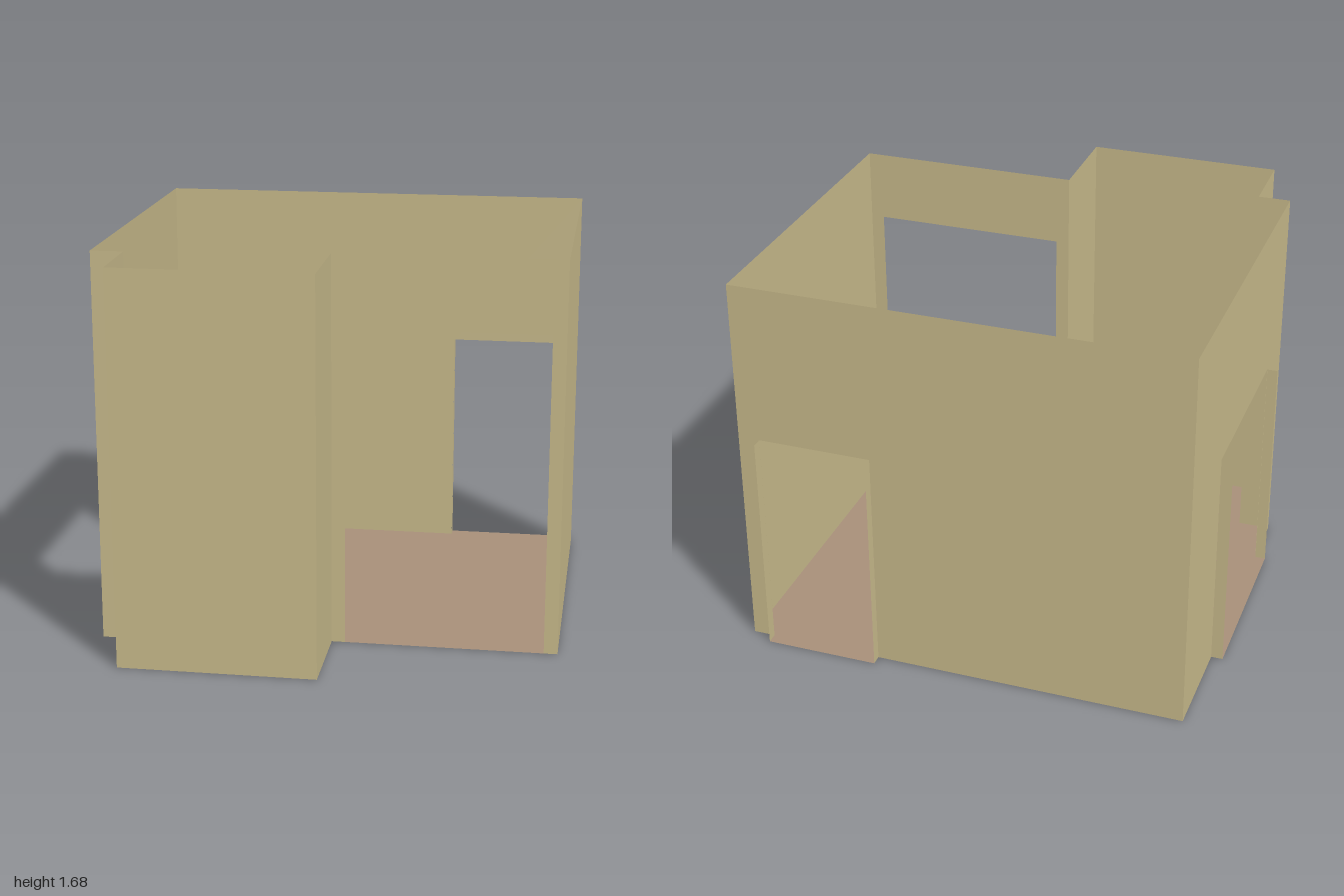
import * as THREE from 'three';

const WALL_H = 1.685;
const DOOR_H = 0.987;
const OPENING_H = 1.377;

const wallPaint = new THREE.MeshStandardMaterial({ color: 0xc8ba8b, side: THREE.DoubleSide });
wallPaint.name = 'wallPaint';
const floorBrown = new THREE.MeshStandardMaterial({ color: 0xa8907a, side: THREE.DoubleSide });
floorBrown.name = 'floorBrown';

// Upright sheet from plan point a to b [x, z], with an optional floor-level opening
function wall(name, a, b, height, opening) {
  const dx = b[0] - a[0], dz = b[1] - a[1];
  const length = Math.hypot(dx, dz);
  const outline = [[0, 0]];
  if (opening) {
    const { from, to, top } = opening;
    outline.push([from, 0], [from, top], [to, top], [to, 0]);
  }
  outline.push([length, 0], [length, height], [0, height]);
  const shape = new THREE.Shape(outline.map(([x, y]) => new THREE.Vector2(x, y)));
  const mesh = new THREE.Mesh(new THREE.ShapeGeometry(shape), wallPaint);
  mesh.name = name;
  mesh.position.set(a[0], 0, a[1]);
  mesh.rotation.y = Math.atan2(-dz, dx);
  return mesh;
}

export function createModel() {
  const room = new THREE.Group();
  room.name = 'room';

  // Plan corners [x, z]
  const backLeft = [-0.941, -0.923], backRight = [0.998, -0.901];
  const frontRight = [0.982, 0.552], innerCorner = [0.022, 0.54];
  const bayRight = [0.02, 0.953], bayLeft = [-0.818, 0.941];
  const stepInner = [-0.818, 0.622], stepOuter = [-0.957, 0.622];

  // Doorway reveals [wall point, outer point]
  const backDoor = [
    [[0.412, -0.908], [0.412, -0.955]],
    [[0.904, -0.902], [0.904, -0.95]],
  ];
  const sideDoor = [
    [[-0.955, 0.36], [-1, 0.36]],
    [[-0.946, -0.457], [-0.996, -0.457]],
  ];

  // Floor, including the two door thresholds
  const plan = [
    backLeft, backDoor[0][0], backDoor[0][1], backDoor[1][1], backDoor[1][0],
    backRight, frontRight, innerCorner, bayRight, bayLeft, stepInner, stepOuter,
    sideDoor[0][0], sideDoor[0][1], sideDoor[1][1], sideDoor[1][0],
  ];
  const floorShape = new THREE.Shape(plan.map(([x, z]) => new THREE.Vector2(x, -z)));
  const floor = new THREE.Mesh(new THREE.ShapeGeometry(floorShape), floorBrown);
  floor.name = 'floor';
  floor.rotation.x = -Math.PI / 2;
  room.add(floor);

  // Full-height walls around the plan
  room.add(
    wall('backWall', backLeft, backRight, WALL_H, { from: 1.353, to: 1.845, top: DOOR_H }),
    wall('sideWallRight', backRight, frontRight, WALL_H),
    wall('frontWall', innerCorner, frontRight, WALL_H, { from: 0.058, to: 0.902, top: OPENING_H }),
    wall('bayReturnWall', innerCorner, bayRight, WALL_H),
    wall('bayFrontWall', bayLeft, bayRight, WALL_H),
    wall('baySideWall', stepInner, bayLeft, WALL_H),
    wall('stepWall', stepOuter, stepInner, WALL_H),
    wall('sideWallLeft', backLeft, stepOuter, WALL_H, { from: 0.466, to: 1.283, top: DOOR_H }),
  );

  // Door jambs
  for (const [name, door] of [['backDoorJamb', backDoor], ['sideDoorJamb', sideDoor]]) {
    for (const [inner, outer] of door) room.add(wall(name, inner, outer, DOOR_H));
  }
  return room;
}
